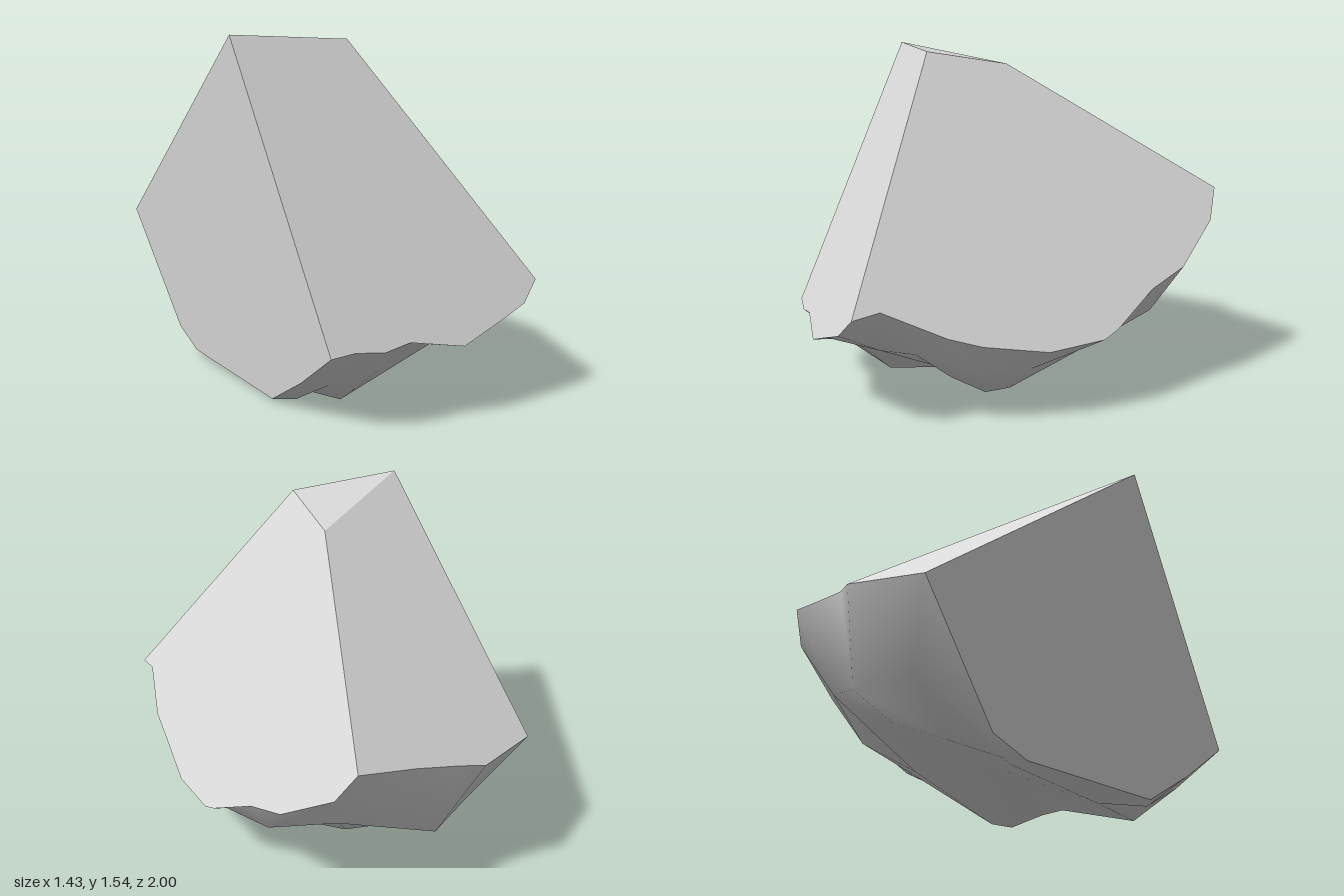
import * as THREE from 'three';

// Corners of the cleaved upper part
const A = [-0.67, 1.54, 0.05], B = [-0.2, 1.52, 0.28], C = [-0.03, 1.46, -0.05];

// Lower edges of the four cut planes, running round the stone
const frontEdge = [[-0.72, 0.325, 0.61], [-0.67, 0.355, 0.69], [-0.56, 0.34, 0.75], [-0.45, 0.36, 0.79],
  [-0.24, 0.315, 0.91], [-0.04, 0.39, 0.97], [0.085, 0.435, 1.0], [0.18, 0.52, 1.0]];
const rightEdge = [[0.22, 0.54, 0.89], [0.385, 0.42, 0.68], [0.45, 0.37, 0.55], [0.59, 0.32, 0.3],
  [0.675, 0.335, 0.05], [0.69, 0.37, -0.02], [0.69, 0.5, -0.25], [0.715, 0.57, -0.44],
  [0.68, 0.74, -0.69], [0.64, 0.88, -0.77]];
const backEdge = [[0.38, 0.81, -0.86], [0.18, 0.75, -0.94], [0.08, 0.725, -1.0], [-0.31, 0.655, -0.98]];
const leftEdge = [[-0.36, 0.12, -0.62], [-0.405, 0.045, -0.46], [-0.58, 0.015, 0.18], [-0.65, 0.16, 0.4]];

// Rough underside: flank ring, base ring and centre
const rim = [...frontEdge, ...rightEdge, ...backEdge, ...leftEdge];
const flank = [[-0.56, 0.14, 0.47], [-0.42, 0.21, 0.63], [-0.22, 0.28, 0.73], [0.04, 0.3, 0.76], [0.2, 0.31, 0.7],
  [0.33, 0.22, 0.5], [0.45, 0.2, 0.28], [0.59, 0.3, 0.0], [0.64, 0.38, -0.3], [0.54, 0.5, -0.6],
  [0.17, 0.35, -0.84], [-0.13, 0.34, -0.81], [-0.33, 0.055, -0.52], [-0.5, 0.01, 0.05], [-0.52, 0.015, 0.26]];
const base = [[-0.38, 0.003, 0.39], [0, 0.118, 0.4], [0.17, 0.14, 0.48], [0.28, 0.075, 0.38], [0.31, 0.07, 0.26],
  [0.45, 0.25, -0.14], [0.36, 0.3, -0.5], [0.15, 0.27, -0.62], [-0.03, 0.2, -0.5],
  [-0.3, 0.06, -0.42], [-0.4, 0.0, 0.05]];
const centre = [0, 0.18, -0.18];

function indexed(points, index) {
  const g = new THREE.BufferGeometry();
  g.setAttribute('position', new THREE.Float32BufferAttribute(points.flat(), 3));
  g.setIndex(index);
  g.computeVertexNormals();
  return g;
}

// One cut plane, as a fan from its first corner with a single shared normal
function fan(points) {
  const index = [], sum = new THREE.Vector3();
  const v = points.map((p) => new THREE.Vector3(...p));
  for (let i = 1; i < points.length - 1; i++) {
    index.push(0, i, i + 1);
    sum.add(v[i].clone().sub(v[0]).cross(v[i + 1].clone().sub(v[0])));
  }
  sum.normalize();
  const g = indexed(points, index);
  points.forEach((_, i) => g.attributes.normal.setXYZ(i, sum.x, sum.y, sum.z));
  return g;
}

// Angle round the centre, measured from just before the first rim corner
function angle(p) {
  const a = Math.atan2(centre[2] - p[2], p[0] - centre[0]) + 2.365;
  return (a + Math.PI * 4) % (Math.PI * 2);
}

// Join an outer ring to an inner one, stepping along whichever comes next
function stitch(outer, inner, o0, i0, index) {
  const n = outer.length, m = inner.length;
  const at = (ring, k) => angle(ring[k % ring.length]) + (k >= ring.length ? Math.PI * 2 : 0);
  for (let i = 0, j = 0; i < n || j < m;) {
    const o = o0 + (i % n), q = i0 + (j % m);
    if (j >= m || (i < n && at(outer, i + 1) <= at(inner, j + 1))) {
      index.push(o, q, o0 + ((i + 1) % n));
      i++;
    } else {
      index.push(o, q, i0 + ((j + 1) % m));
      j++;
    }
  }
}

function underside() {
  const index = [], f0 = rim.length, b0 = f0 + flank.length, c = b0 + base.length;
  const sorted = (ring) => [...ring].sort((p, q) => angle(p) - angle(q));
  const f = sorted(flank), b = sorted(base);
  stitch(rim, f, 0, f0, index);
  stitch(f, b, f0, b0, index);
  b.forEach((_, j) => index.push(b0 + j, c, b0 + ((j + 1) % b.length)));
  return indexed([...rim, ...f, ...b, centre], index);
}

export function createModel() {
  const stone = new THREE.MeshStandardMaterial({ color: 0xd9d9d9, side: THREE.DoubleSide });
  stone.name = 'grey stone';
  const group = new THREE.Group();
  group.name = 'rock';
  const add = (name, geometry) => {
    const mesh = new THREE.Mesh(geometry, stone);
    mesh.name = name;
    group.add(mesh);
  };
  const last = (edge) => edge[edge.length - 1];
  add('topCap', fan([A, B, C]));
  add('frontCut', fan([A, ...frontEdge, B]));
  add('rightCut', fan([B, last(frontEdge), ...rightEdge, C]));
  add('backCut', fan([A, C, last(rightEdge), ...backEdge]));
  add('leftCut', fan([A, last(backEdge), ...leftEdge, frontEdge[0]]));
  add('roughUnderside', underside());
  return group;
}
